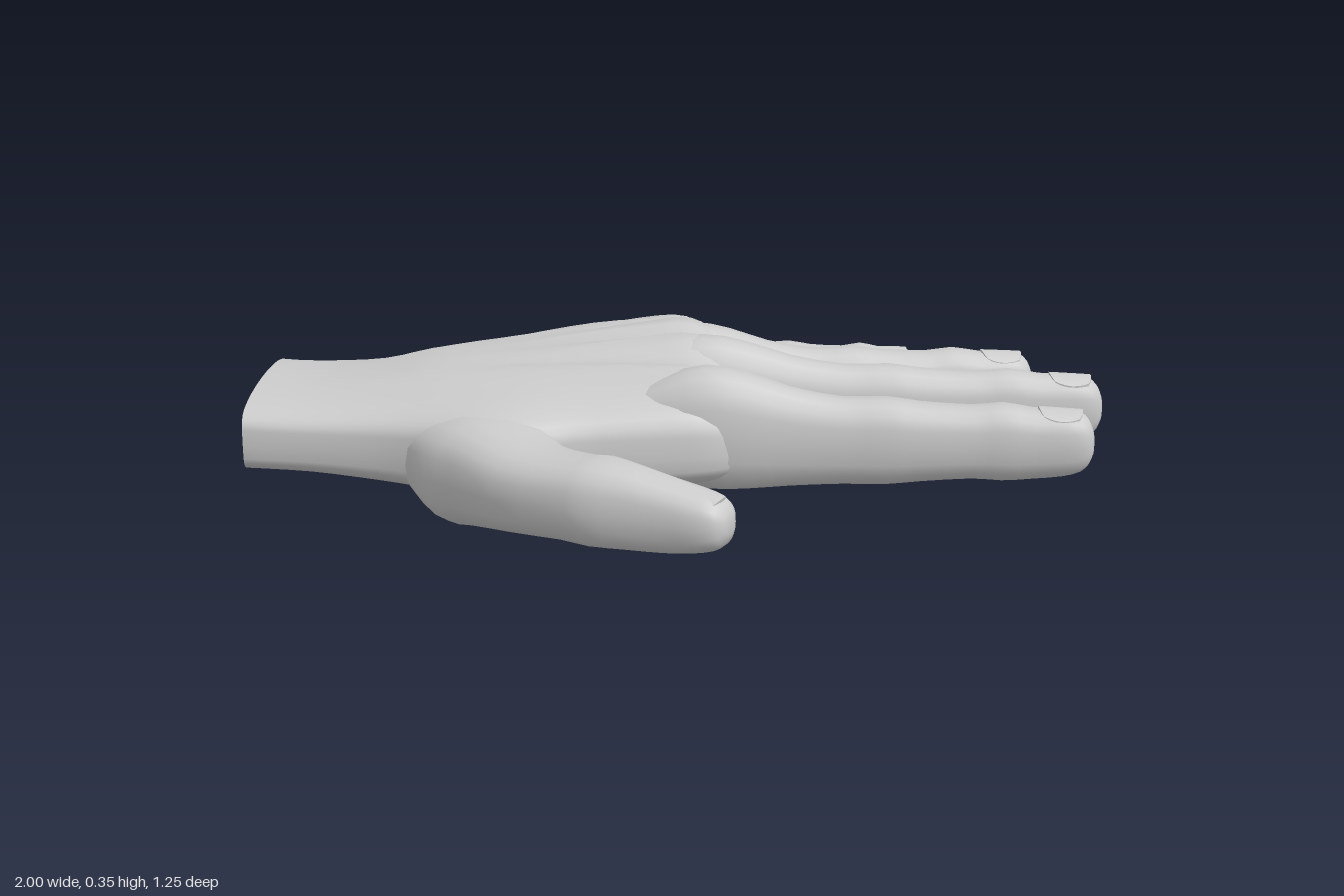
import * as THREE from 'three';

const skin = new THREE.MeshStandardMaterial({ color: 0xcccccc });
const openSkin = new THREE.MeshStandardMaterial({ color: 0xcccccc, side: THREE.DoubleSide });
const { lerp, clamp } = THREE.MathUtils;
const bump = (d, width) => Math.exp(-(d * d) / (width * width));

// Knuckle z, fingertip x and z, width scale, and how far the knuckle sits below the highest one
const FINGERS = [
  { name: 'index', z0: 0.08, x1: 0.92, z1: 0.155, width: 1.02, drop: 0.015 },
  { name: 'middle', z0: -0.135, x1: 1.0, z1: -0.11, width: 1, drop: 0 },
  { name: 'ring', z0: -0.312, x1: 0.885, z1: -0.368, width: 1.02, drop: 0.02 },
  { name: 'little', z0: -0.488, x1: 0.635, z1: -0.582, width: 0.89, drop: 0.05 },
];

// Smoothly fills in extra rows between the given ones
function refine(rows, steps) {
  const out = [];
  for (let i = 0; i < rows.length - 1; i++) {
    const a = rows[Math.max(i - 1, 0)], b = rows[i], c = rows[i + 1];
    const d = rows[Math.min(i + 2, rows.length - 1)];
    for (let s = 0; s < steps; s++) {
      const t = s / steps;
      out.push(b.map((v, k) => {
        const cubic = 3 * (v - c[k]) + d[k] - a[k];
        const square = 2 * a[k] - 5 * v + 4 * c[k] - d[k];
        return v + 0.5 * t * (c[k] - a[k] + t * (square + t * cubic));
      }));
    }
  }
  out.push(rows[rows.length - 1]);
  return out;
}

// Skins a list of equal rings and closes the far end
function loft(rings) {
  const n = rings[0].length, index = [];
  const points = rings.flat();
  for (let i = 0; i < rings.length - 1; i++) {
    for (let j = 0; j < n; j++) {
      const a = i * n + j, b = i * n + (j + 1) % n;
      index.push(a, a + n, b, b, a + n, b + n);
    }
  }
  const last = (rings.length - 1) * n;
  const centre = new THREE.Vector3();
  rings[rings.length - 1].forEach((p) => centre.addScaledVector(p, 1 / n));
  points.push(centre);
  for (let j = 0; j < n; j++) index.push(points.length - 1, last + (j + 1) % n, last + j);
  const geometry = new THREE.BufferGeometry().setFromPoints(points);
  geometry.setIndex(index);
  geometry.computeVertexNormals();
  return geometry;
}

// Tube with rows of [x, z, half width, top, bottom], its rings square to the path
function digit(rows) {
  const sides = 18;
  const rings = rows.map(([x, z, w, top, bottom], i) => {
    const p = rows[Math.max(i - 1, 0)], q = rows[Math.min(i + 1, rows.length - 1)];
    const dir = new THREE.Vector2(q[0] - p[0], q[1] - p[1]).normalize();
    return Array.from({ length: sides }, (_, j) => {
      const a = (j / sides) * Math.PI * 2, c = Math.cos(a), s = Math.sin(a);
      const u = Math.sign(c) * Math.abs(c) ** 0.8 * w;
      const v = Math.sign(s) * Math.abs(s) ** 0.8;
      return new THREE.Vector3(x - dir.y * u, (top + bottom) / 2 + v * (top - bottom) / 2, z + dir.x * u);
    });
  });
  return loft(rings);
}

function add(parent, name, geometry, material = skin) {
  const mesh = new THREE.Mesh(geometry, material);
  mesh.name = name;
  parent.add(mesh);
  return mesh;
}

// Thin plate with rounded corners, bent over the fingertip
function addNail(parent, name, [x, y, z], width, turn, tilt) {
  const geometry = new THREE.BoxGeometry(2, 0.02, 2, 6, 1, 8);
  const p = geometry.attributes.position;
  for (let i = 0; i < p.count; i++) {
    const u = p.getX(i), v = p.getZ(i);
    const across = v * Math.sqrt(1 - 0.35 * u * u) * width / 2;
    p.setXYZ(i, u * Math.sqrt(1 - 0.35 * v * v) * 0.05, p.getY(i) - 11 * across * across, across);
  }
  geometry.computeVertexNormals();
  const nail = add(parent, name, geometry);
  nail.position.set(x, y, z);
  nail.rotation.set(0, turn, tilt);
}

// Wrist and palm, open at the wrist, with tendons rising to the knuckles
function palmGeometry() {
  // x, zMin, zMax, bottom, top, hollow of the palm, tendon height
  const rows = refine([
    [-1, -0.5, 0.03, 0.07, 0.25, 0, 0],
    [-0.85, -0.48, 0.06, 0.065, 0.25, 0, 0],
    [-0.7, -0.465, 0.1, 0.05, 0.262, 0, 0.006],
    [-0.58, -0.525, 0.15, 0.037, 0.277, 0.01, 0.012],
    [-0.42, -0.55, 0.23, 0.03, 0.29, 0.025, 0.018],
    [-0.25, -0.565, 0.205, 0.035, 0.307, 0.03, 0.024],
    [-0.08, -0.575, 0.198, 0.042, 0.322, 0.022, 0.03],
    [0.04, -0.578, 0.19, 0.047, 0.325, 0.015, 0.034],
    [0.11, -0.555, 0.165, 0.058, 0.29, 0.01, 0.02],
    [0.16, -0.5, 0.12, 0.085, 0.24, 0, 0],
    [0.18, -0.43, 0.06, 0.12, 0.2, 0, 0],
  ], 3);
  const sides = 56, mid = 0.155;
  const rings = rows.map(([x, z0, z1, bottom, top, hollow, tendon]) => {
    const spread = clamp((x + 1) / 1.05, 0, 1);
    return Array.from({ length: sides }, (_, j) => {
      const a = (j / sides) * Math.PI * 2, s = Math.sin(a);
      const v = Math.abs(s) ** lerp(0.45, 0.58, spread);
      const z = (z0 + z1) / 2 + Math.cos(a) * (z1 - z0) / 2;
      const hollowed = hollow * (bump(z + 0.17, 0.16) - 0.5 * bump(z + 0.42, 0.12));
      let y = mid - v * (mid - bottom - hollowed);
      if (s > 0) {
        const ridge = FINGERS.reduce((h, f) => h + bump(z - lerp(-0.22, f.z0, spread), 0.05), 0);
        y = mid + v * (top - mid + tendon * Math.min(ridge, 1));
      }
      // The cut of the wrist and the webs between the fingers run at a slant
      const cut = x < -0.9 && s > 0 ? 0.5 * (-0.9 - x) * Math.max(0, -z * 2) : 0;
      const web = x > 0.05 ? (x - 0.05) * 2 * Math.min(0, z + 0.28) : 0;
      return new THREE.Vector3(x + cut + web, y, z);
    });
  });
  return loft(rings);
}

// Share of the length, half width, top, bottom
const FINGER_PROFILE = [
  [-0.12, 0.045, 0.27, 0.13], [0, 0.074, 0.328, 0.085],
  [0.1, 0.086, 0.355, 0.058], [0.2, 0.08, 0.337, 0.058],
  [0.3, 0.069, 0.303, 0.065], [0.42, 0.064, 0.28, 0.07], [0.52, 0.066, 0.28, 0.07],
  [0.6, 0.063, 0.268, 0.077], [0.72, 0.058, 0.26, 0.084], [0.79, 0.06, 0.265, 0.08],
  [0.86, 0.057, 0.253, 0.084], [0.93, 0.056, 0.25, 0.09], [0.97, 0.051, 0.242, 0.1],
  [0.99, 0.041, 0.225, 0.118], [1, 0.025, 0.2, 0.14],
];

export function createModel() {
  const hand = new THREE.Group();
  hand.name = 'hand';
  add(hand, 'palm', palmGeometry(), openSkin);

  // Four fingers
  for (const f of FINGERS) {
    const finger = new THREE.Group();
    finger.name = f.name + 'Finger';
    hand.add(finger);
    const x0 = -0.05, length = f.x1 - x0;
    const lower = (t) => f.drop * (f.name === 'little' ? 1 : 1 - 0.6 * t);
    const rows = FINGER_PROFILE.map(([t, w, top, bottom]) => [
      x0 + t * length, lerp(f.z0, f.z1, t), w * f.width,
      top - lower(t), bottom - 0.3 * lower(t) * t]);
    add(finger, f.name + 'FingerBody', digit(refine(rows, 2)));
    const slope = (f.z1 - f.z0) / length;
    addNail(finger, f.name + 'Nail', [f.x1 - 0.076, 0.243 - lower(0.93), f.z1 - 0.076 * slope],
      0.084 * f.width, -Math.atan(slope), -0.07);
  }

  // Thumb, growing out of the ball of the palm
  const thumb = new THREE.Group();
  thumb.name = 'thumb';
  hand.add(thumb);
  add(thumb, 'thumbBody', digit(refine([
    [-0.66, -0.04, 0.04, 0.19, 0.1],
    [-0.56, 0.03, 0.115, 0.225, 0.045],
    [-0.47, 0.12, 0.15, 0.25, 0.004],
    [-0.41, 0.21, 0.14, 0.25, 0.018],
    [-0.345, 0.325, 0.118, 0.235, 0.045],
    [-0.25, 0.42, 0.1, 0.24, 0.06],
    [-0.2, 0.457, 0.096, 0.247, 0.058],
    [-0.13, 0.495, 0.078, 0.238, 0.06],
    [-0.06, 0.525, 0.07, 0.22, 0.062],
    [0, 0.553, 0.067, 0.205, 0.07],
    [0.035, 0.573, 0.058, 0.195, 0.08],
    [0.055, 0.585, 0.043, 0.178, 0.095],
    [0.064, 0.59, 0.022, 0.155, 0.12],
  ], 2)));
  addNail(thumb, 'thumbNail', [0.004, 0.196, 0.555], 0.09, -0.5, -0.22);
  return hand;
}
